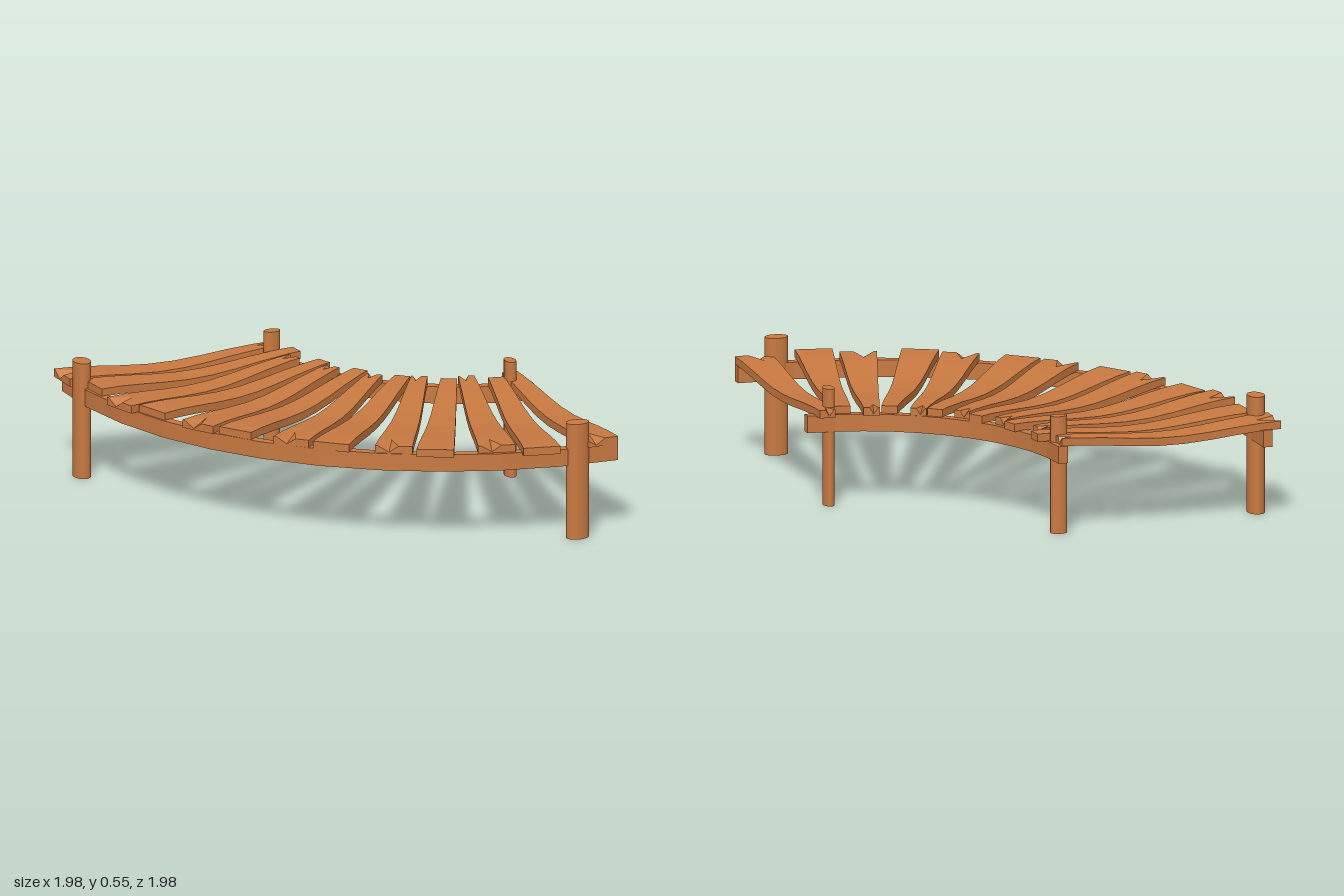
import * as THREE from 'three';

const wood = new THREE.MeshStandardMaterial({ color: 0xc87941, flatShading: true });
const postWood = new THREE.MeshStandardMaterial({ color: 0xc87941 });

// Centre of the quarter turn the walkway follows
const CX = 0.98, CZ = -0.98;

// Joins rings of points into a closed solid; both caps fan out from point `hub`
function loft(rings, hub = 0) {
  const n = rings[0].length, pos = [];
  const tri = (a, b, c) => pos.push(...a, ...b, ...c);
  for (let s = 0; s < rings.length - 1; s++) {
    const a = rings[s], b = rings[s + 1];
    for (let i = 0; i < n; i++) {
      const j = (i + 1) % n;
      tri(a[i], a[j], b[j]);
      tri(a[i], b[j], b[i]);
    }
  }
  const first = rings[0], last = rings[rings.length - 1];
  for (let k = 1; k < n - 1; k++) {
    const i = (hub + k) % n, j = (hub + k + 1) % n;
    tri(first[hub], first[j], first[i]);
    tri(last[hub], last[i], last[j]);
  }
  const geo = new THREE.BufferGeometry();
  geo.setAttribute('position', new THREE.Float32BufferAttribute(pos, 3));
  geo.computeVertexNormals();
  return geo;
}

// Curved beam under the planks, faceted along its length
function railGeometry(radius, bulge) {
  const rings = [], steps = 11, a0 = -0.006, a1 = Math.PI / 2 + 0.006;
  for (let s = 0; s <= steps; s++) {
    const a = a0 + (a1 - a0) * s / steps;
    const r = radius + bulge * Math.sin(2 * a);
    const c = Math.cos(a), q = Math.sin(a);
    const at = (u, y) => [CX - (r - u) * c, y, CZ + (r - u) * q];
    rings.push([at(-0.022, 0.35), at(0.022, 0.35), at(0.022, 0.43), at(-0.022, 0.43)]);
  }
  return loft(rings);
}

// Tapered plank sagging between the rails, with optional split ends
function plankGeometry([ox, oz, ix, iz], split) {
  const dx = ix - ox, dz = iz - oz, len = Math.hypot(dx, dz);
  const ux = dz / len, uz = -dx / len;
  const stations = [0, 0.095, 0.2, 0.32, 0.44, 0.56, 0.68, 0.8, 0.94, 1];
  const rings = stations.map((t) => {
    const h = THREE.MathUtils.lerp(0.086, 0.037, t);
    const sag = 0.035 * (1 - Math.cos(2 * Math.PI * t)) / 2;
    const open = split && (t === 0 || t === 1) ? 1 : 0;
    const top = 0.465 - sag, bottom = 0.428 - sag;
    const at = (u, y) => [ox + dx * t + ux * u * h, y, oz + dz * t + uz * u * h];
    return [
      at(-1, bottom), at(1, bottom), at(1, top),
      at(0.25 + 0.6 * open, top),
      at(0.25, top - 0.03 * open),
      at(0.25 - 0.5 * open, top),
      at(-1, top),
    ];
  });
  return loft(rings, 4);
}

export function createModel() {
  const group = new THREE.Group();
  group.name = 'curvedFootbridge';
  const add = (name, geo, mat) => {
    const mesh = new THREE.Mesh(geo, mat);
    mesh.name = name;
    group.add(mesh);
    return mesh;
  };

  // Rails
  add('outerRail', railGeometry(1.902, 0.03), wood);
  add('innerRail', railGeometry(0.92, -0.018), wood);

  // Planks: middle of outer end (x, z), middle of inner end (x, z)
  const planks = [
    [-0.985, -0.895, 0.065, -0.94],
    [-0.915, -0.70, 0.145, -0.825],
    [-0.905, -0.41, 0.095, -0.73],
    [-0.81, -0.25, 0.195, -0.617],
    [-0.70, 0.025, 0.20, -0.525],
    [-0.58, 0.18, 0.297, -0.433],
    [-0.395, 0.40, 0.33, -0.34],
    [-0.255, 0.535, 0.437, -0.27],
    [-0.01, 0.69, 0.505, -0.235],
    [0.145, 0.81, 0.615, -0.15],
    [0.428, 0.86, 0.702, -0.155],
    [0.607, 0.967, 0.82, -0.085],
    [0.905, 0.947, 0.907, -0.135],
  ];
  planks.forEach((p, i) => add(`plank${i + 1}`, plankGeometry(p, i % 2 === 0), wood));

  // Oval posts: x, z, half width in x, half width in z
  const posts = {
    outerBackPost: [-0.928, -0.797, 0.04, 0.055],
    outerFrontPost: [0.80, 0.922, 0.055, 0.04],
    innerBackPost: [0.046, -0.88, 0.04, 0.027],
    innerFrontPost: [0.876, -0.053, 0.026, 0.042],
  };
  for (const [name, [x, z, rx, rz]] of Object.entries(posts)) {
    const post = add(name, new THREE.CylinderGeometry(1, 1, 0.55, 20), postWood);
    post.scale.set(rx, 1, rz);
    post.position.set(x, 0.275, z);
  }
  return group;
}
